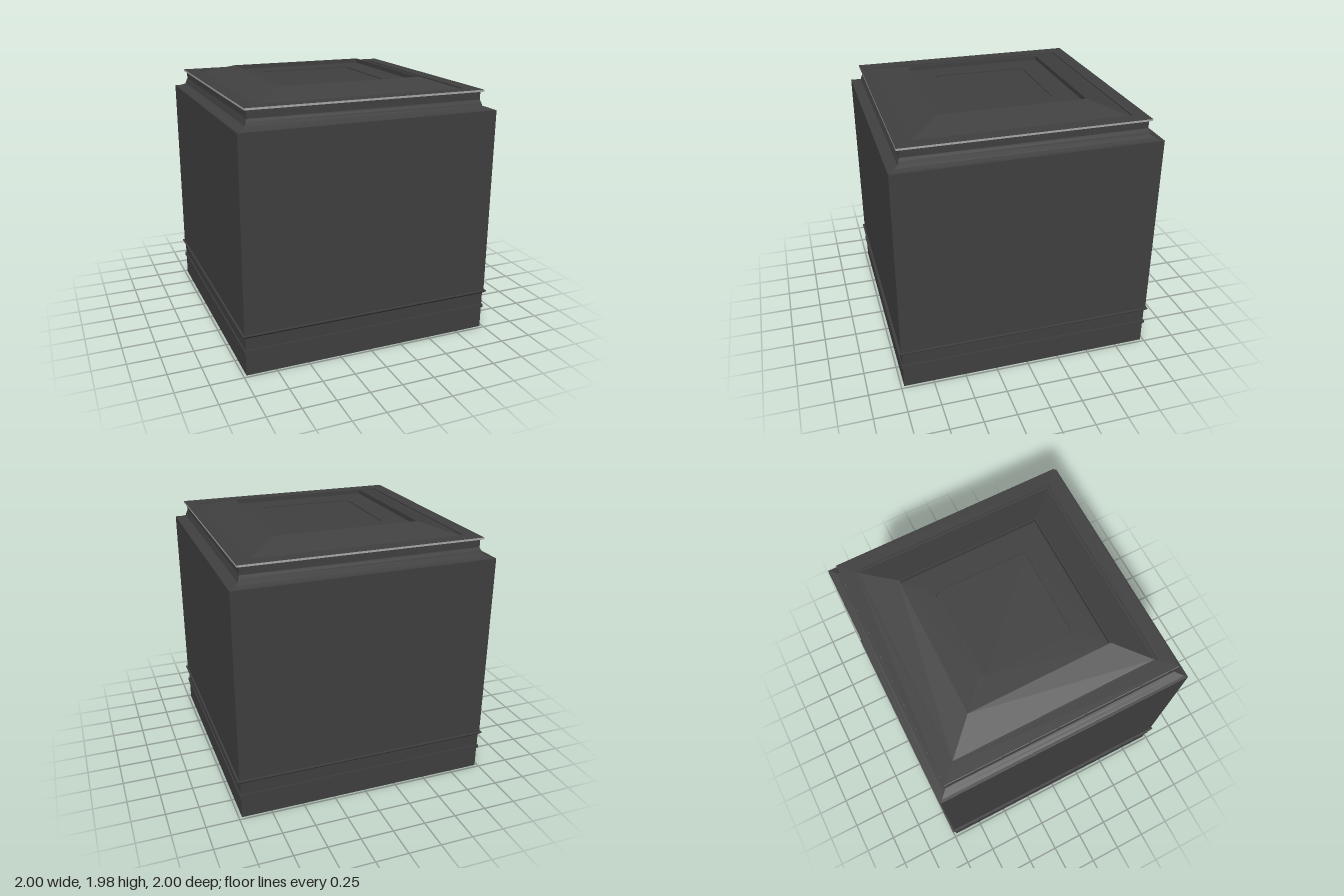
import * as THREE from 'three';

const dark = new THREE.MeshStandardMaterial({ color: 0x404040 });
const pale = new THREE.MeshStandardMaterial({ color: 0xaaaaaa });

// Square moulding: sweeps a profile of [half width, height] round four sides
function squareMoulding(name, profile, material = dark) {
  const points = profile.map(([half, y]) => new THREE.Vector2(half * Math.SQRT2, y));
  const geometry = new THREE.LatheGeometry(points, 4, Math.PI / 4).toNonIndexed();
  geometry.computeVertexNormals();
  const mesh = new THREE.Mesh(geometry, material);
  mesh.name = name;
  return mesh;
}

// Square outline with rounded corners
function roundedSquare(target, h, r) {
  target.moveTo(-h + r, -h);
  target.lineTo(h - r, -h);
  target.absarc(h - r, -h + r, r, -Math.PI / 2, 0);
  target.absarc(h - r, h - r, r, 0, Math.PI / 2);
  target.absarc(-h + r, h - r, r, Math.PI / 2, Math.PI);
  target.absarc(-h + r, -h + r, r, Math.PI, Math.PI * 1.5);
  return target;
}

// Flat plate whose top lies at the given height
function plate(name, shape, top, depth) {
  const geometry = new THREE.ExtrudeGeometry(shape, { depth, bevelEnabled: false, curveSegments: 6 });
  geometry.rotateX(-Math.PI / 2).translate(0, top - depth, 0);
  const mesh = new THREE.Mesh(geometry, dark);
  mesh.name = name;
  return mesh;
}

export function createModel() {
  const model = new THREE.Group();
  model.name = 'squareBox';

  // Plinth with a thin bead and a flared trim
  model.add(squareMoulding('plinth', [
    [0, 0], [0.977, 0], [0.977, 0.172],
    [0.987, 0.172], [0.987, 0.198], [0.978, 0.198],
    [0.978, 0.295], [1, 0.315], [1, 0.322], [0.985, 0.322],
  ]));

  // Plain body with a coved shoulder and neck
  model.add(squareMoulding('body', [
    [0.985, 0.322], [0.985, 1.772], [0.965, 1.774], [0.935, 1.784],
    [0.91, 1.797], [0.903, 1.82], [0.895, 1.842], [0.895, 1.902],
  ]));

  // Projecting rim: pale edge around a dark plate
  model.add(squareMoulding('rimEdge', [[0.89, 1.902], [0.915, 1.902], [0.915, 1.917]], pale));

  // Lid: flat border, narrow groove, sloping sides and a recessed well
  model.add(squareMoulding('lid', [
    [0.915, 1.917], [0.806, 1.917], [0.806, 1.907], [0.79, 1.907],
    [0.56, 1.98], [0.553, 1.98], [0.553, 1.94],
  ]));

  // Floor of the well, with a rounded opening and a slightly sunken panel
  const floor = new THREE.Shape([[-1, -1], [1, -1], [1, 1], [-1, 1]]
    .map(([x, y]) => new THREE.Vector2(x * 0.555, y * 0.555)));
  floor.holes.push(roundedSquare(new THREE.Path(), 0.368, 0.045));
  model.add(plate('wellFloor', floor, 1.945, 0.02));
  model.add(plate('sunkenPanel', roundedSquare(new THREE.Shape(), 0.368, 0.045), 1.937, 0.012));

  return model;
}
